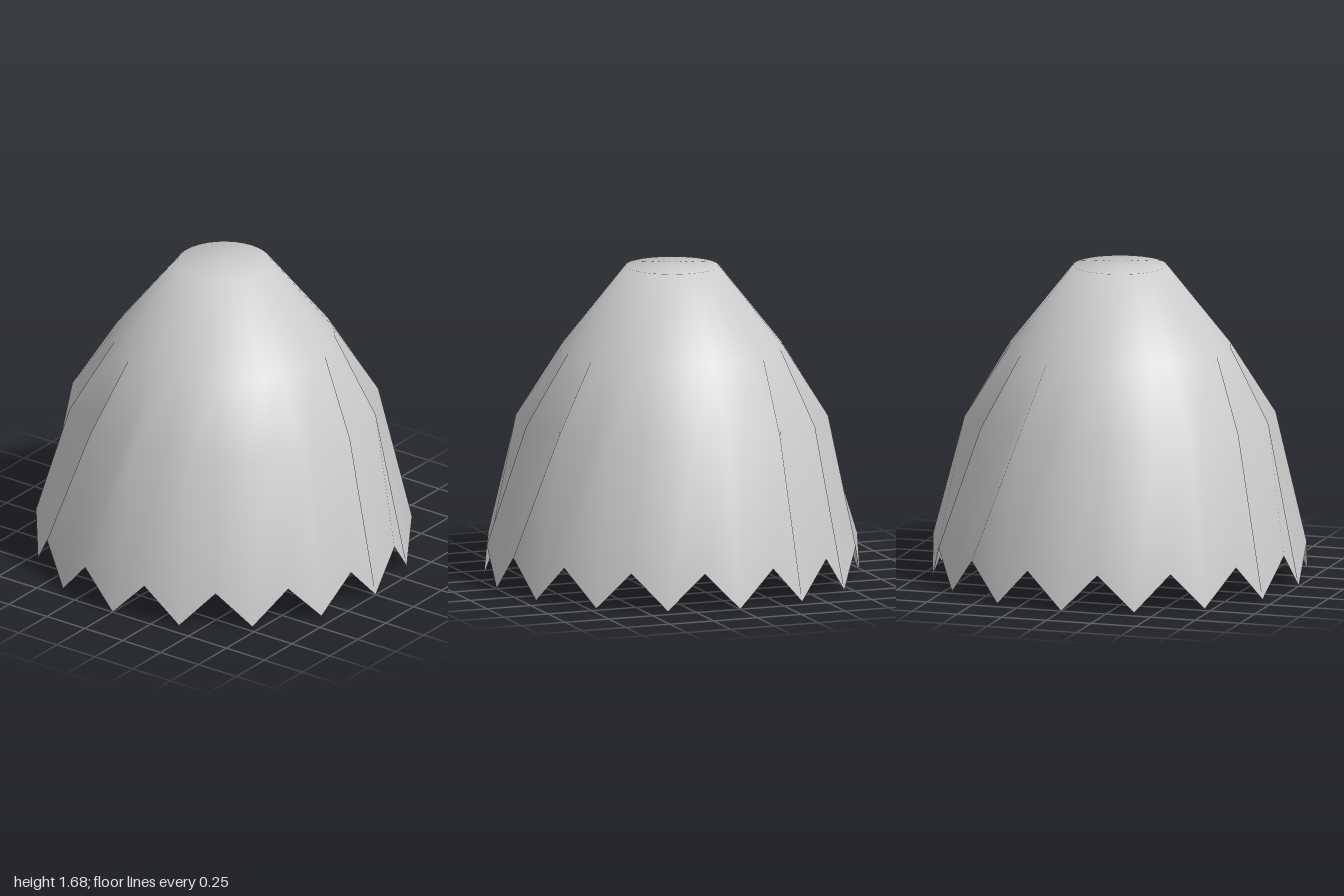
import * as THREE from 'three';

// Cross-sections from top to hem: radius and height on the pleat ridges and in the folds between them,
// and the tilt of the smooth normal away from straight up, in degrees
const SIDES = 32;
const RINGS = [
  { ridge: [0.25, 1.68], fold: [0.25, 1.68], tilt: 26 },
  { ridge: [0.59, 1.25], fold: [0.59, 1.25], tilt: 55 },
  { ridge: [0.83, 0.87], fold: [0.705, 0.87], tilt: 68 },
  { ridge: [1.0, 0.0], fold: [1.0, 0.2], tilt: 79 },
];

function pleatedShell() {
  const positions = [0, RINGS[0].ridge[1], 0]; // centre of the flat top
  const normals = [0, 1, 0];
  const index = [];
  for (const ring of RINGS) {
    const tilt = THREE.MathUtils.degToRad(ring.tilt);
    for (let i = 0; i < SIDES; i++) {
      const [r, y] = i % 2 ? ring.fold : ring.ridge;
      const a = (i / SIDES) * Math.PI * 2;
      positions.push(r * Math.cos(a), y, r * Math.sin(a));
      normals.push(Math.sin(tilt) * Math.cos(a), Math.cos(tilt), Math.sin(tilt) * Math.sin(a));
    }
  }
  const at = (k, i) => 1 + k * SIDES + (i % SIDES);

  // Flat top
  for (let i = 0; i < SIDES; i++) index.push(0, at(0, i + 1), at(0, i));

  // Pleated wall down to the zigzag hem
  for (let k = 0; k < RINGS.length - 1; k++) {
    for (let i = 0; i < SIDES; i++) {
      const a = at(k, i), b = at(k, i + 1), c = at(k + 1, i), d = at(k + 1, i + 1);
      index.push(a, b, d, a, d, c);
    }
  }

  const geometry = new THREE.BufferGeometry();
  geometry.setAttribute('position', new THREE.Float32BufferAttribute(positions, 3));
  geometry.setAttribute('normal', new THREE.Float32BufferAttribute(normals, 3));
  geometry.setIndex(index);
  return geometry;
}

export function createModel() {
  const group = new THREE.Group();
  group.name = 'pleatedShade';
  const material = new THREE.MeshStandardMaterial({ color: 0xcccccc, side: THREE.DoubleSide });
  const shell = new THREE.Mesh(pleatedShell(), material);
  shell.name = 'pleatedShell';
  group.add(shell);
  return group;
}
